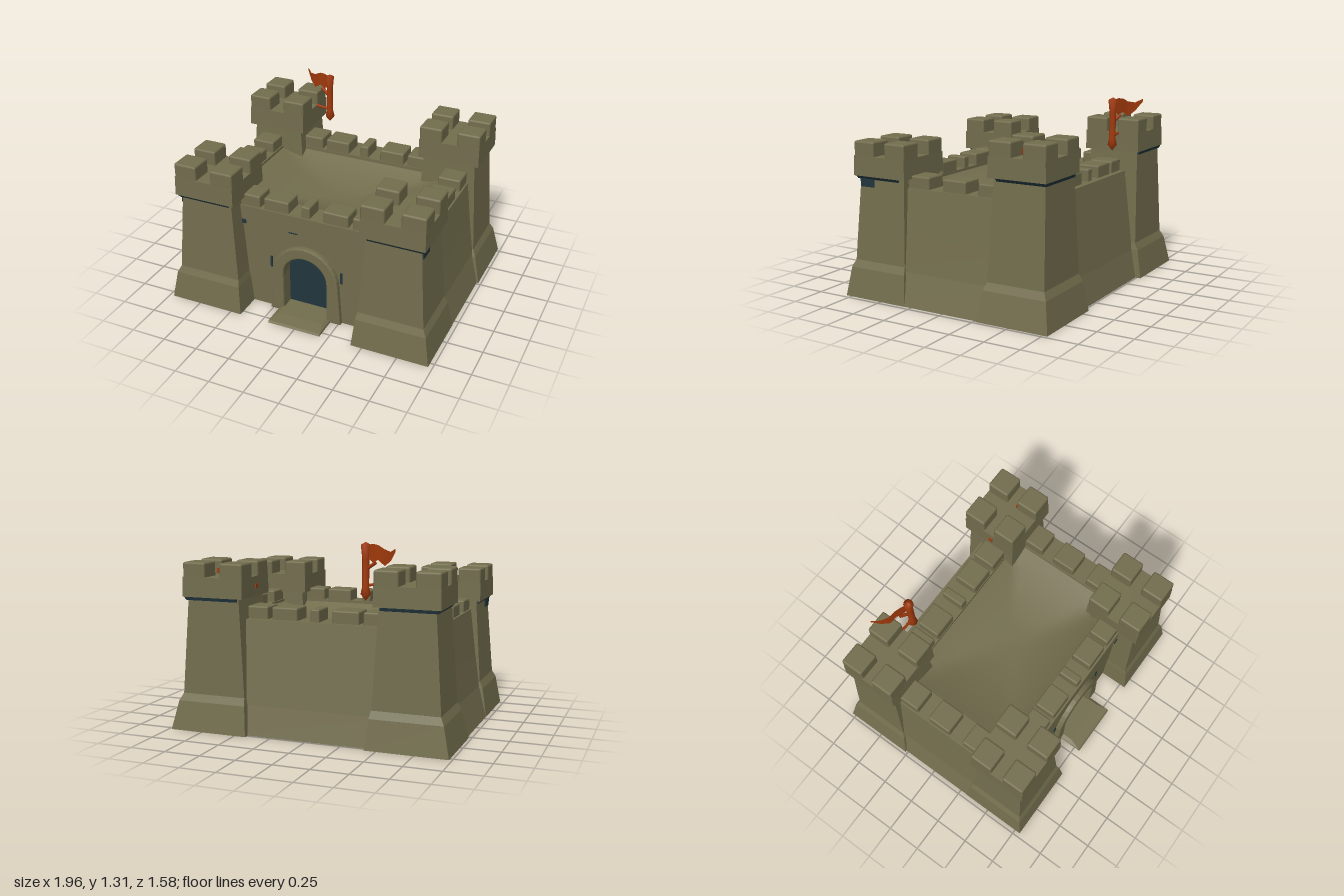
import * as THREE from 'three';
import { RoundedBoxGeometry } from 'three/addons/geometries/RoundedBoxGeometry.js';

const stone = new THREE.MeshStandardMaterial({ color: 0x726d4d });
stone.name = 'stone';
const dark = new THREE.MeshStandardMaterial({ color: 0x22353d });
dark.name = 'darkBlue';
const orange = new THREE.MeshStandardMaterial({ color: 0xa23a0c, side: THREE.DoubleSide });
orange.name = 'flagOrange';

function add(parent, name, geometry, material) {
  const mesh = new THREE.Mesh(geometry, material);
  mesh.name = name;
  parent.add(mesh);
  return mesh;
}

// Box between two limits on each axis, optionally with softened edges
function block(parent, name, [x0, x1], [y0, y1], [z0, z1], material = stone, r = 0) {
  const size = [Math.abs(x1 - x0), y1 - y0, z1 - z0];
  const geometry = r ? new RoundedBoxGeometry(...size, 2, r) : new THREE.BoxGeometry(...size);
  const mesh = add(parent, name, geometry, material);
  mesh.position.set((x0 + x1) / 2, (y0 + y1) / 2, (z0 + z1) / 2);
  return mesh;
}

// Stack of rectangular sections [y, x0, x1, z0, z1]; s = -1 mirrors in x
function loft(sections, s = 1) {
  const rings = sections.map(([y, xa, xb, z0, z1]) => {
    const x0 = Math.min(xa * s, xb * s), x1 = Math.max(xa * s, xb * s);
    return [[x0, y, z1], [x1, y, z1], [x1, y, z0], [x0, y, z0]];
  });
  const p = [];
  const quad = (a, b, c, d) => p.push(...a, ...b, ...c, ...a, ...c, ...d);
  for (let i = 0; i + 1 < rings.length; i++) {
    for (let k = 0; k < 4; k++) {
      const n = (k + 1) % 4;
      quad(rings[i][k], rings[i][n], rings[i + 1][n], rings[i + 1][k]);
    }
  }
  quad(...rings[rings.length - 1]);
  quad(...[...rings[0]].reverse());
  const g = new THREE.BufferGeometry();
  g.setAttribute('position', new THREE.Float32BufferAttribute(p, 3));
  g.computeVertexNormals();
  return g;
}

// Corner tower: flared shaft, dark collar, overhanging head and four merlons
function tower(parent, name, s, front) {
  const g = new THREE.Group();
  g.name = name;
  parent.add(g);
  const neck = front ? 0.83 : 0.915;
  const z = front
    ? [[0.3, 0.792], [0.325, 0.765], [0.335, 0.745], [0.36, 0.715]]
    : [[-0.78, -0.265], [-0.745, -0.29], [-0.72, -0.31], [-0.7, -0.335]];
  add(g, 'towerShaft', loft([
    [0, 0.42, front ? 0.97 : 0.98, ...z[0]],
    [0.2, 0.44, 0.935, ...z[1]],
    [0.25, 0.45, 0.91, ...z[2]],
    [neck, 0.49, 0.865, ...z[3]],
  ], s), stone);
  const [hz0, hz1] = front ? [0.332, 0.75] : [-0.72, -0.308];
  // Collar shows on the two outer sides only
  const inner = front ? [0.4, hz1 - 0.018] : [hz0 + 0.01, -0.36];
  const top = front ? [0.4, hz1 - 0.006] : [hz0 + 0.004, -0.36];
  add(g, 'darkCollar', loft([
    [neck - 0.022, 0.5, 0.877, ...inner],
    [neck, 0.5, 0.892, ...top],
  ], s), dark);
  const sill = neck + 0.135;
  add(g, 'towerHead', loft([
    [neck, 0.457, 0.9, hz0, hz1],
    [sill, 0.457, 0.897, hz0 + 0.003, hz1 - 0.003],
  ], s), stone);
  for (const x of [[0.457, 0.622], [0.732, 0.897]]) {
    for (const mz of [[hz0 + 0.003, hz0 + 0.165], [hz1 - 0.165, hz1 - 0.003]]) {
      block(g, 'towerMerlon', [x[0] * s, x[1] * s], [sill - 0.04, sill + 0.1], mz, stone, 0.014);
    }
  }
}

// Arch outline, wide w at the springing and wider by splay at the foot
function archPoints(w, spring, foot, splay = 0) {
  const pts = [new THREE.Vector2(w + splay, foot)];
  for (let i = 0; i <= 16; i++) {
    const a = (i / 16) * Math.PI;
    pts.push(new THREE.Vector2(Math.cos(a) * w, spring + Math.sin(a) * w));
  }
  pts.push(new THREE.Vector2(-w - splay, foot));
  return pts;
}

function extrude(points, depth, bevel = 0) {
  return new THREE.ExtrudeGeometry(new THREE.Shape(points), {
    depth, bevelEnabled: bevel > 0, bevelSize: bevel, bevelThickness: bevel, bevelSegments: 2,
  });
}

export function createModel() {
  const castle = new THREE.Group();
  castle.name = 'castle';

  // Corner towers
  for (const s of [1, -1]) {
    const side = s > 0 ? 'Left' : 'Right';
    tower(castle, 'front' + side + 'Tower', s, true);
    tower(castle, 'back' + side + 'Tower', s, false);
  }

  // Courtyard: solid base under a shallow bowl that rises to the wall tops
  block(castle, 'courtyardBase', [-0.66, 0.66], [0, 0.5], [-0.42, 0.45]);
  const bowl = new THREE.PlaneGeometry(1.32, 0.87, 24, 16).rotateX(-Math.PI / 2);
  const bp = bowl.attributes.position;
  for (let i = 0; i < bp.count; i++) {
    const edge = Math.max(Math.abs(bp.getX(i)) / 0.66, Math.abs(bp.getZ(i)) / 0.435);
    bp.setY(i, 0.63 + 0.13 * edge * edge);
  }
  bowl.computeVertexNormals();
  add(castle, 'courtyardFloor', bowl, stone).position.z = 0.015;

  // Side walls and their merlons
  for (const s of [1, -1]) {
    add(castle, 'sideWall', loft([
      [0, 0.64, 0.968, -0.5, 0.5],
      [0.22, 0.64, 0.905, -0.5, 0.5],
      [0.45, 0.64, 0.87, -0.5, 0.5],
      [0.77, 0.64, 0.828, -0.5, 0.5],
    ], s), stone);
    for (const z of [[0.195, 0.38], [-0.09, 0.085], [-0.36, -0.185]]) {
      block(castle, 'sideMerlon', [0.65 * s, 0.815 * s], [0.74, 0.852], z, stone, 0.012);
    }
  }

  // Back wall
  add(castle, 'backWall', loft([
    [0, -0.55, 0.55, -0.74, -0.395],
    [0.2, -0.55, 0.55, -0.695, -0.395],
    [0.77, -0.55, 0.55, -0.61, -0.395],
  ]), stone);

  // Front wall with the gateway cut out
  const wall = [
    new THREE.Vector2(-0.5, 0), new THREE.Vector2(-0.5, 0.77),
    new THREE.Vector2(0.5, 0.77), new THREE.Vector2(0.5, 0),
    ...archPoints(0.165, 0.3, 0),
  ];
  add(castle, 'frontWall', extrude(wall, 0.15), stone).position.z = 0.44;
  block(castle, 'frontParapet', [-0.5, 0.5], [0.645, 0.772], [0.438, 0.603]);

  // Merlons of the front and back walls
  for (const [z0, z1] of [[0.44, 0.59], [-0.57, -0.4]]) {
    for (const x of [[-0.49, -0.34], [-0.31, -0.125], [-0.032, 0.032], [0.125, 0.31], [0.34, 0.49]]) {
      block(castle, 'wallMerlon', x, [0.74, 0.855], [z0, z1], stone, 0.012);
    }
  }

  // Gateway: door, raised arch and doorstep
  add(castle, 'door', extrude(archPoints(0.17, 0.3, 0.01), 0.008), dark).position.z = 0.51;
  const ring = [...archPoints(0.235, 0.3, 0.012, 0.02), ...archPoints(0.175, 0.3, 0.012).reverse()];
  add(castle, 'doorArch', extrude(ring, 0.03, 0.012), stone).position.z = 0.585;
  add(castle, 'doorstep', loft([
    [0, -0.2, 0.19, 0.5, 0.795],
    [0.015, -0.2, 0.19, 0.5, 0.785],
    [0.03, -0.17, 0.17, 0.5, 0.7],
  ]), stone);

  // Narrow slits and small dark marks
  for (const s of [1, -1]) {
    block(castle, 'wallSlit', [0.256 * s, 0.272 * s], [0.325, 0.41], [0.588, 0.597], dark);
    block(castle, 'wallMark', [0.445 * s, 0.475 * s], [0.635, 0.665], [0.6, 0.608], dark);
    block(castle, 'towerMark', [0.871 * s, 0.879 * s], [0.755, 0.83], [0.6, 0.712], dark);
  }
  block(castle, 'wallMark', [-0.125, -0.06], [0.63, 0.642], [0.588, 0.596], dark);

  // Small orange marks on the towers
  block(castle, 'merlonMark', [0.735, 0.765], [1.055, 1.09], [-0.48, -0.472], orange);
  block(castle, 'headMark', [0.45, 0.458], [0.97, 1.0], [-0.515, -0.485], orange);
  block(castle, 'neckMark', [-0.69, -0.66], [0.775, 0.805], [0.352, 0.36], orange);

  // Flagpole with pointed foot, and its bracket to the tower
  const flag = new THREE.Group();
  flag.name = 'flag';
  castle.add(flag);
  const profile = [[0, 0.93], [0.035, 0.975], [0.024, 1.02], [0.024, 1.2], [0.034, 1.29], [0, 1.31]];
  const pole = add(flag, 'flagpole',
    new THREE.LatheGeometry(profile.map(([r, y]) => new THREE.Vector2(r, y)), 8), orange);
  pole.position.set(-0.355, 0, -0.565);
  const v = (x, y, z) => new THREE.Vector3(x, y, z);
  add(flag, 'flagBracket', new THREE.TubeGeometry(
    new THREE.LineCurve3(v(-0.47, 1.045, -0.56), v(-0.35, 1.03, -0.56)), 1, 0.01, 6), orange);
  add(flag, 'flagTie', new THREE.TubeGeometry(
    new THREE.LineCurve3(v(-0.43, 1.18, -0.59), v(-0.35, 1.13, -0.56)), 1, 0.012, 6), orange);

  // Waving cloth: columns of [x, z, low y, high y]
  const cloth = [
    [-0.36, -0.565, 1.22, 1.29], [-0.41, -0.585, 1.18, 1.3], [-0.45, -0.6, 1.2, 1.295],
    [-0.5, -0.615, 1.165, 1.27], [-0.55, -0.65, 1.2, 1.26], [-0.595, -0.69, 1.265, 1.285],
  ];
  const plane = new THREE.PlaneGeometry(1, 1, cloth.length - 1, 1);
  cloth.forEach(([x, z, low, high], i) => {
    plane.attributes.position.setXYZ(i, x, high, z);
    plane.attributes.position.setXYZ(i + cloth.length, x, low, z);
  });
  plane.computeVertexNormals();
  add(flag, 'flagCloth', plane, orange);

  return castle;
}
